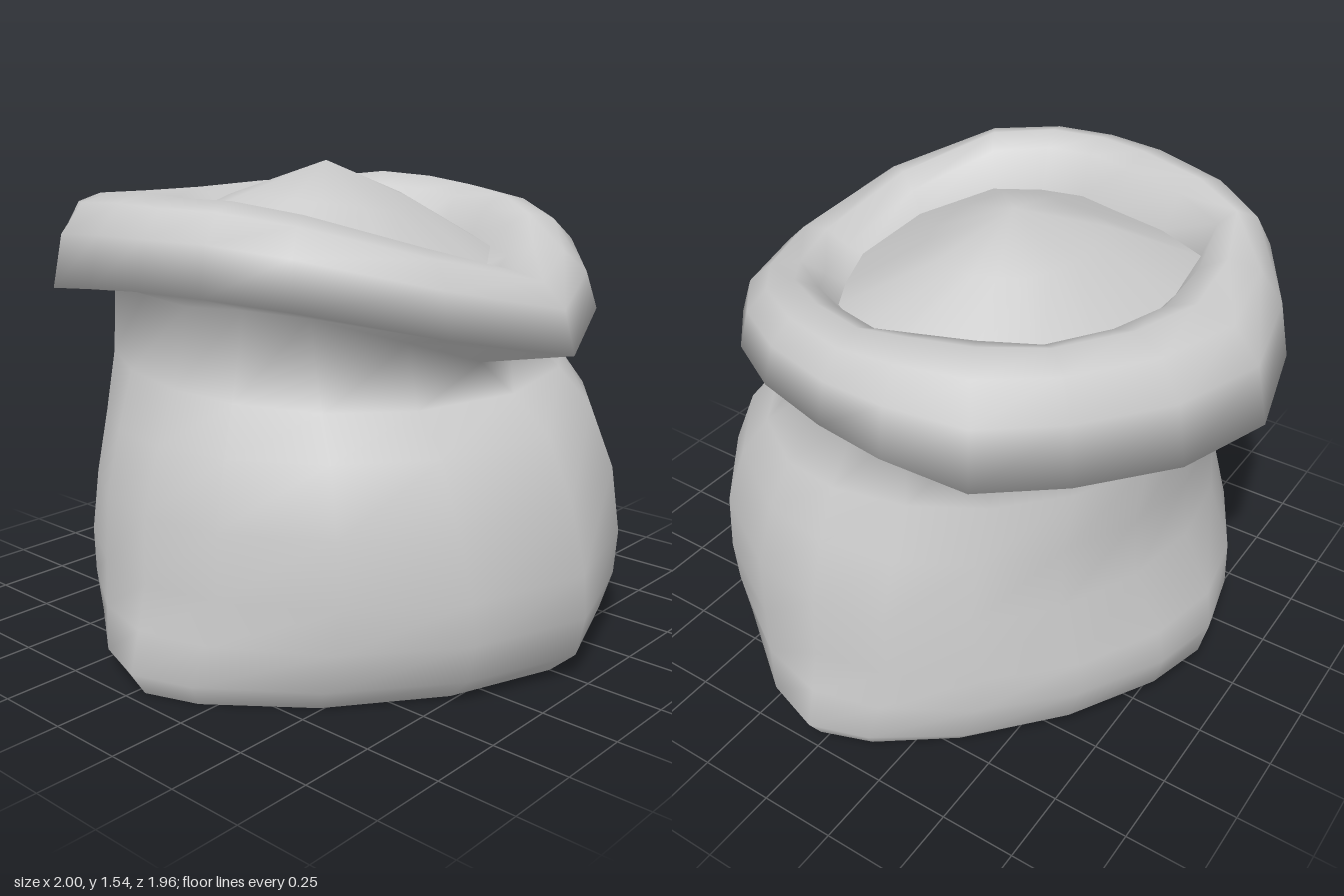
import * as THREE from 'three';
import { mergeVertices } from 'three/addons/utils/BufferGeometryUtils.js';

const material = new THREE.MeshStandardMaterial({ color: 0xcccccc, side: THREE.DoubleSide });

// Skins a stack of closed rings; each ring runs front -> left (+x) -> back.
function loft(name, rings) {
  const n = rings[0].length;
  const index = [];
  for (let r = 0; r < rings.length - 1; r++) {
    for (let k = 0; k < n; k++) {
      const a = r * n + k, b = r * n + (k + 1) % n;
      index.push(a, b, b + n, a, b + n, a + n);
    }
  }
  const geo = new THREE.BufferGeometry();
  geo.setAttribute('position', new THREE.Float32BufferAttribute(rings.flat(2), 3));
  geo.setIndex(index);
  const welded = mergeVertices(geo);
  welded.computeVertexNormals();
  const mesh = new THREE.Mesh(welded, material);
  mesh.name = name;
  return mesh;
}

// Directions of the ring corners on the left half, mirrored for the right half.
const halfAngles = [0, 28, 50, 72, 90, 108, 126, 144, 162, 180];

// Rounded ring: height, half width, front z, back z, roundness power (2 = ellipse), forward droop.
function bodyRing([y, halfWidth, front, back, power, droop]) {
  const mid = 0.03;
  const bend = (v) => Math.sign(v) * Math.abs(v) ** (2 / power);
  return Array.from({ length: 18 }, (_, k) => {
    const a = THREE.MathUtils.degToRad(k < 10 ? halfAngles[k] : 360 - halfAngles[18 - k]);
    const c = bend(Math.cos(a));
    return [halfWidth * bend(Math.sin(a)), y - droop * c, mid + c * (c > 0 ? front - mid : mid - back)];
  });
}

// Rim outline: x, z, height of the lower lip, height of the crest, mouth size against the lip.
const rimOutline = [
  [0, 0.9, 1.02, 1.25, 0.58], [0.38, 0.74, 1.09, 1.29, 0.57], [0.62, 0.52, 1.15, 1.36, 0.61],
  [0.78, 0.27, 1.19, 1.4, 0.61], [0.86, 0, 1.2, 1.42, 0.62], [0.87, -0.22, 1.18, 1.44, 0.58],
  [0.82, -0.48, 1.14, 1.45, 0.56], [0.61, -0.68, 1.11, 1.43, 0.6], [0.33, -0.88, 1.09, 1.42, 0.57],
  [0, -0.98, 1.08, 1.41, 0.56], [-0.36, -0.89, 1.1, 1.42, 0.62], [-0.66, -0.7, 1.13, 1.44, 0.73],
  [-0.83, -0.49, 1.17, 1.46, 0.67], [-0.91, -0.2, 1.21, 1.48, 0.64], [-0.92, 0.03, 1.23, 1.48, 0.67],
  [-0.88, 0.25, 1.23, 1.48, 0.66], [-0.78, 0.5, 1.21, 1.45, 0.66], [-0.45, 0.78, 1.12, 1.35, 0.62],
];

// Rim roll from lip to mouth: position (0 mouth, 1 lip) and height.
const rimSection = [
  [1, (low) => low],
  [0.9, (low, top) => low + (top - low) * 0.58],
  [0.69, (low, top) => low + (top - low) * 0.91],
  [0.41, (low, top) => top],
  [0.18, (low, top) => top - 0.04],
  [0, (low, top) => 1.2 + 0.45 * (top - 1.25)],
];

export function createModel() {
  const group = new THREE.Group();
  group.name = 'openSack';

  // Slumped cloth body, open underneath
  const body = [
    [0, 0.95, 0.86, -0.77, 1.5, 0],
    [0.08, 1, 0.95, -0.86, 1.52, 0],
    [0.21, 0.965, 0.98, -0.89, 1.65, 0],
    [0.35, 0.935, 0.97, -0.87, 1.8, 0],
    [0.56, 0.925, 0.915, -0.77, 1.9, 0],
    [0.76, 0.865, 0.82, -0.75, 1.95, 0],
    [0.92, 0.795, 0.69, -0.765, 2, 0.05],
  ].map(bodyRing);

  // Neck, where the cloth turns out under the lip; tucked up behind it at the back
  const neck = rimOutline.map(([x, z, low]) => {
    const s = 0.8 - 0.19 * Math.max(0, z);
    return [x * s, low - 0.07 - 0.22 * Math.min(0, z), z * s];
  });

  // Rolled-down rim, dipping at the front
  const rim = rimSection.map(([t, height]) => rimOutline.map(([x, z, low, top, mouth]) => {
    const s = mouth + (1 - mouth) * t;
    return [x * s, height(low, top), z * s];
  }));
  group.add(loft('sackAndRim', [...body, neck, ...rim]));

  // Heaped contents, filling the mouth up to a peak
  const mouth = rim[rim.length - 1];
  const mound = [[1, 0], [0.5, 0.02], [0, 0]].map(([s, bulge]) => mouth.map(([x, y, z]) =>
    [x * s, 1.54 + (y - 1.54) * s + bulge, -0.09 + (z + 0.09) * s]));
  group.add(loft('contents', mound));

  return group;
}
